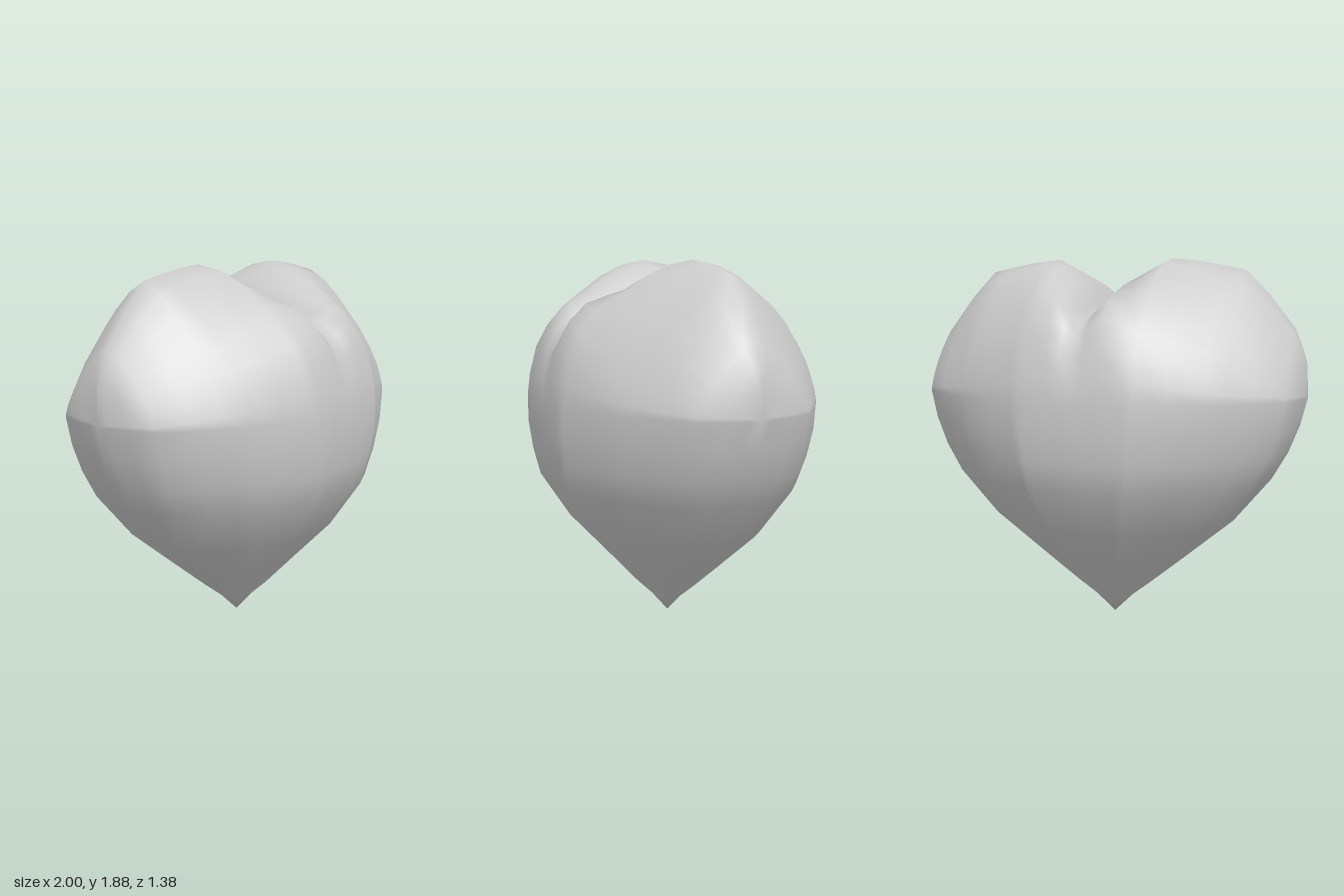
import * as THREE from 'three';
import { mergeVertices } from 'three/addons/utils/BufferGeometryUtils.js';

// Piecewise-linear lookup through [position, value] points
function lookup(points, t) {
  for (let i = 1; i < points.length; i++) {
    const [t0, v0] = points[i - 1], [t1, v1] = points[i];
    if (t <= t1) return v0 + ((v1 - v0) * (t - t0)) / (t1 - t0);
  }
  return points[points.length - 1][1];
}

const EQUATOR = 1.2;

// Half depth of the widest section, by distance from the middle
const DEPTH = [[0, 0.687], [0.25, 0.68], [0.45, 0.605], [0.6, 0.53], [0.8, 0.39],
  [0.93, 0.28], [0.97, 0.165], [1, 0]];

// Top outline from the cleft over a lobe to the side
const CREST = [[0, 1.57], [0.06, 1.66], [0.13, 1.78], [0.3, 1.88], [0.45, 1.865],
  [0.68, 1.82], [0.8, 1.7], [0.91, 1.58], [0.96, 1.47], [0.99, 1.37], [1, EQUATOR]];

// Share of the crest height kept from the middle (0) to the front or back (1)
const CLEFT_DOME = [[0, 1], [0.77, 0.96], [0.88, 0.73], [0.95, 0.48], [0.985, 0.2], [1, 0]];
const LOBE_DOME = [[0, 1], [0.18, 0.97], [0.35, 0.9], [0.5, 0.8], [0.68, 0.66], [0.8, 0.53],
  [0.91, 0.37], [0.97, 0.22], [1, 0]];
const SIDE_DOME = [[0, 1], [0.18, 0.92], [0.35, 0.8], [0.67, 0.52], [0.88, 0.26], [0.97, 0.1], [1, 0]];

// Sections below the equator: height, width scale, depth scale
const RINGS = [[EQUATOR, 1, 1], [1.06, 0.965, 1.005], [0.92, 0.91, 0.98], [0.78, 0.83, 0.935],
  [0.55, 0.64, 0.725], [0.33, 0.38, 0.435], [0.18, 0.2, 0.24], [0.1, 0.1, 0.12], [0, 0, 0]];

// Dome blended from the cleft to the lobe, then from the lobe to the side
function dome(ax, u) {
  const lobe = lookup(LOBE_DOME, u);
  return ax < 0.3
    ? THREE.MathUtils.lerp(lookup(CLEFT_DOME, u), lobe, ax / 0.3)
    : THREE.MathUtils.lerp(lobe, lookup(SIDE_DOME, u), Math.min(1, (ax - 0.3) / 0.4));
}

function heartGeometry() {
  const half = [0.06, 0.13, 0.25, 0.3, 0.45, 0.6, 0.68, 0.8, 0.93, 0.97, 0.99, 1];
  const xs = [...half.map((x) => -x).reverse(), 0, ...half];
  const positions = [], index = [];
  const quad = (a, b, c, d) => index.push(a, b, c, a, c, d);

  // Two lobes: each slice across x is a dome in z
  const steps = 16;
  xs.forEach((x, i) => {
    const ax = Math.abs(x), depth = lookup(DEPTH, ax), crest = lookup(CREST, ax);
    for (let j = 0; j <= steps; j++) {
      const u = Math.sin((j / steps - 0.5) * Math.PI);
      positions.push(x, EQUATOR + (crest - EQUATOR) * dome(ax, Math.abs(u)), depth * u);
      if (i < xs.length - 1 && j < steps) {
        const a = i * (steps + 1) + j, b = a + steps + 1;
        quad(a, a + 1, b + 1, b);
      }
    }
  });

  // Lower body: rings shrinking to the tip
  const outline = [
    ...[...xs].reverse().map((x) => [x, lookup(DEPTH, Math.abs(x))]),
    ...xs.slice(1, -1).map((x) => [x, -lookup(DEPTH, Math.abs(x))]),
  ];
  const start = positions.length / 3, n = outline.length;
  RINGS.forEach(([y, w, d], r) => {
    outline.forEach(([x, z], i) => {
      positions.push(x * w, y, z * d);
      if (r < RINGS.length - 1) {
        const a = start + r * n + i, b = start + r * n + ((i + 1) % n);
        quad(a, b, b + n, a + n);
      }
    });
  });

  // Weld the seam, then smooth the normals
  const geometry = new THREE.BufferGeometry();
  geometry.setAttribute('position', new THREE.Float32BufferAttribute(positions, 3));
  geometry.setIndex(index);
  const welded = mergeVertices(geometry, 1e-4);
  welded.computeVertexNormals();
  return welded;
}

export function createModel() {
  const group = new THREE.Group();
  group.name = 'heart';
  const body = new THREE.Mesh(heartGeometry(), new THREE.MeshStandardMaterial({ color: 0xcccccc }));
  body.name = 'heartBody';
  group.add(body);
  return group;
}
